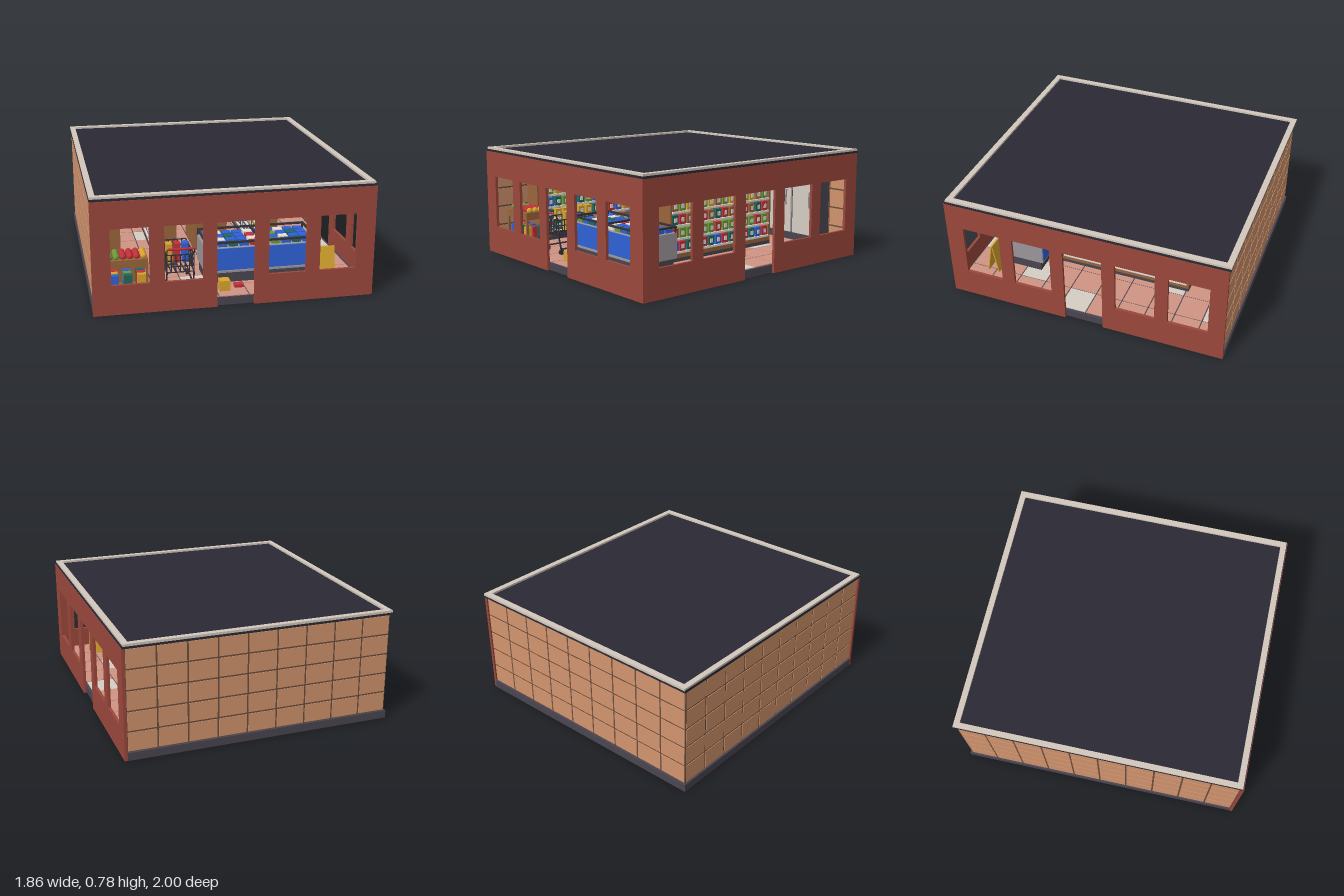
import * as THREE from 'three';
import { mergeGeometries } from 'three/addons/utils/BufferGeometryUtils.js';

const C = {
  brick: 0x9c483c, tile: 0xd2946e, grout: 0x6b4e3e, dark: 0x4a4550, roof: 0x2b2933, trim: 0xd2c8bd,
  blue: 0x2f62d8, red: 0xc5303a, yellow: 0xdaa52e, green: 0x6f9a3a, teal: 0x24685e, wood: 0x9a663c,
  cream: 0xd6cec4, grey: 0x9d979b, white: 0xe6e2da, wire: 0x35333b, pink: 0xd09484,
};
const GOODS = [C.red, C.yellow, C.blue, C.green, C.teal, C.wood];
const mats = new Map();
const mat = (color) => {
  if (!mats.has(color)) mats.set(color, new THREE.MeshStandardMaterial({ color }));
  return mats.get(color);
};

// Box given by its extents along x, y and z
const box = (x0, x1, y0, y1, z0, z1) =>
  new THREE.BoxGeometry(x1 - x0, y1 - y0, z1 - z0).translate((x0 + x1) / 2, (y0 + y1) / 2, (z0 + z1) / 2);
const ball = (x, y, z, r) => new THREE.SphereGeometry(r, 10, 8).translate(x, y, z);
const rod = (a, b, r = 0.004) => {
  const p = new THREE.Vector3(...a), q = new THREE.Vector3(...b);
  return new THREE.TubeGeometry(new THREE.LineCurve3(p, q), 1, r, 6);
};

// Gathers geometries by colour, so each part gets one mesh per colour
class Part {
  constructor(name) { this.name = name; this.lists = new Map(); }
  add(color, ...geos) {
    if (!this.lists.has(color)) this.lists.set(color, []);
    this.lists.get(color).push(...geos);
    return this;
  }
  build(parent) {
    const g = new THREE.Group();
    g.name = this.name;
    for (const [color, geos] of this.lists) {
      const m = new THREE.Mesh(mergeGeometries(geos), mat(color));
      m.name = this.name + 'Piece';
      g.add(m);
    }
    parent.add(g);
  }
}

// Brick wall with four windows and a central doorway, drawn in its own plane
function brickWall(a0, a1, spans) {
  const s = new THREE.Shape();
  const [d0, d1] = spans[2];
  [[a0, 0], [d0, 0], [d0, 0.575], [d1, 0.575], [d1, 0], [a1, 0], [a1, 0.755], [a0, 0.755]]
    .forEach(([x, y], i) => (i ? s.lineTo(x, y) : s.moveTo(x, y)));
  spans.forEach(([w0, w1], i) => {
    if (i === 2) return;
    const h = new THREE.Path();
    h.moveTo(w0, 0.2).lineTo(w0, 0.575).lineTo(w1, 0.575).lineTo(w1, 0.2);
    s.holes.push(h);
  });
  return new THREE.ExtrudeGeometry(s, { depth: 0.02, bevelEnabled: false });
}

// Shelf unit with goods facing +x and, if double, -x too
function shelfUnit(parent, name, xc, z0, z1, double, seed) {
  const p = new Part(name);
  const w = 0.07;
  p.add(C.dark, box(xc - w, xc + w, 0.06, 0.085, z0, z1));
  p.add(C.wood, box(xc - w, xc + w, 0.085, 0.115, z0, z1), box(xc - 0.012, xc + 0.012, 0.115, 0.575, z0, z1));
  for (const z of [z0, z1 - 0.015]) p.add(C.wood, box(xc - w, xc + w, 0.115, 0.53, z, z + 0.015));
  for (const z of [z0 - 0.012, z1 - 0.02]) p.add(C.red, box(xc - w - 0.008, xc + w + 0.008, 0.53, 0.556, z, z + 0.032));
  p.add(C.yellow, box(xc - 0.05, xc + 0.03, 0.556, 0.6, z1 - 0.1, z1 - 0.025));
  const n = Math.floor((z1 - z0 - 0.03) / 0.067);
  const step = (z1 - z0 - 0.03) / n;
  for (let r = 0; r < 5; r++) {
    const y = 0.13 + r * 0.0935;
    p.add(C.white, box(xc - w - 0.006, xc + w + 0.006, y - 0.014, y, z0 + 0.015, z1 - 0.015));
    for (const side of double ? [1, -1] : [1]) {
      for (let i = 0; i < n; i++) {
        const z = z0 + 0.015 + (i + 0.5) * step;
        const x = xc + side * 0.04, f = xc + side * 0.066;
        p.add(GOODS[(i * 2 + r * 3 + seed + (i * r) % 3) % GOODS.length],
          box(x - 0.025, x + 0.025, y, y + 0.066, z - 0.026, z + 0.026));
        p.add(C.white, box(f - 0.002, f + 0.002, y + 0.018, y + 0.048, z - 0.013, z + 0.013));
      }
    }
  }
  p.build(parent);
}

export function createModel() {
  const store = new THREE.Group();
  store.name = 'store';

  // Floor slab and tiles
  const floor = new Part('floor').add(C.dark, box(-0.93, 0.905, 0.001, 0.055, -0.995, 0.975));
  for (let i = 0; i < 9; i++) for (let j = 0; j < 10; j++) {
    const x = -0.91 + i * 0.2, z = -0.97 + j * 0.194;
    floor.add((i * 3 + j * 5) % 7 === 0 ? C.cream : C.pink, box(x + 0.004, x + 0.196, 0.054, 0.06, z + 0.004, z + 0.19));
  }
  floor.build(store);

  // Brick front and left-hand walls
  const front = brickWall(-0.93, 0.925, [[-0.81, -0.565], [-0.47, -0.22], [-0.13, 0.117], [0.21, 0.46], [0.553, 0.8]]);
  const side = brickWall(-0.993, 0.99, [[-0.87, -0.6], [-0.507, -0.23], [-0.137, 0.14], [0.232, 0.51], [0.6, 0.877]]);
  new Part('brickFrontWall').add(C.brick, front.translate(0, 0, 0.975)).build(store);
  new Part('brickSideWall').add(C.brick, side.rotateY(Math.PI / 2).translate(0.905, 0, 0)).build(store);

  // Tiled back and right-hand walls, tiles raised over the grout on both faces
  const back = new Part('tiledBackWall').add(C.grout, box(-0.92, 0.905, 0.055, 0.75, -0.98, -0.968));
  const flank = new Part('tiledSideWall').add(C.grout, box(-0.917, -0.905, 0.055, 0.75, -0.98, 0.975));
  const g = 0.006, rowH = 0.139;
  for (let r = 0; r < 5; r++) {
    const y0 = 0.055 + r * rowH + g, y1 = 0.055 + (r + 1) * rowH - g;
    for (let i = 0; i < 9; i++) {
      const x = -0.92 + i * 0.2027;
      back.add(C.tile, box(x + g, x + 0.2027 - g, y0, y1, -0.984, -0.964));
    }
    for (let i = 0; i < 10; i++) {
      const z = -0.98 + i * 0.1955;
      flank.add(C.tile, box(-0.921, -0.901, y0, y1, z + g, z + 0.1955 - g));
    }
  }
  back.build(store);
  flank.build(store);

  // Roof slab with a pale raised border
  new Part('roof').add(C.roof, box(-0.93, 0.922, 0.752, 0.77, -0.998, 0.99)).build(store);
  new Part('roofBorder').add(C.trim,
    box(-0.928, -0.89, 0.768, 0.784, -1, 0.985), box(0.876, 0.917, 0.768, 0.784, -1, 0.985),
    box(-0.89, 0.876, 0.768, 0.784, -1, -0.96), box(-0.89, 0.876, 0.768, 0.784, 0.945, 0.985)).build(store);

  // Shelf units
  shelfUnit(store, 'leftAisleShelf', 0.37, -0.6, 0.37, true, 0);
  shelfUnit(store, 'middleAisleShelf', -0.36, -0.6, 0.37, true, 2);
  shelfUnit(store, 'rightAisleShelf', -0.785, -0.6, 0.7, false, 4);

  // Row of upright coolers along the back
  const cooler = new Part('coolers').add(C.dark, box(-0.7, 0.7, 0.06, 0.72, -0.96, -0.83));
  for (let i = 0; i < 6; i++) {
    const x = -0.69 + i * 0.23;
    cooler.add(C.cream, box(x + 0.01, x + 0.22, 0.12, 0.66, -0.84, -0.815));
    cooler.add(C.grey, rod([x + 0.185, 0.33, -0.8], [x + 0.185, 0.45, -0.8], 0.006),
      rod([x + 0.185, 0.34, -0.82], [x + 0.185, 0.34, -0.8]), rod([x + 0.185, 0.44, -0.82], [x + 0.185, 0.44, -0.8]));
  }
  cooler.build(store);

  // Drinks rack by the right-hand wall
  const rack = new Part('drinksRack').add(C.dark, box(-0.9, -0.82, 0.06, 0.6, -0.86, -0.83));
  for (let r = 0; r < 5; r++) {
    const y = 0.1 + r * 0.1;
    rack.add(C.dark, box(-0.9, -0.8, y - 0.01, y, -0.83, -0.74));
    rack.add(r % 3 === 2 ? C.yellow : C.blue, box(-0.89, -0.81, y, y + 0.065, -0.82, -0.75));
  }
  rack.build(store);

  // Chest freezer with packs under its frame
  const fz = new Part('chestFreezer')
    .add(C.dark, box(-0.15, 0.59, 0.06, 0.135, 0.47, 0.74))
    .add(C.grey, box(-0.16, 0.6, 0.135, 0.31, 0.45, 0.76), box(-0.16, 0.6, 0.14, 0.152, 0.45, 0.768))
    .add(C.blue, box(-0.155, 0.595, 0.155, 0.308, 0.755, 0.766), box(-0.155, 0.595, 0.155, 0.308, 0.444, 0.452));
  for (let i = 0; i < 10; i++) for (let j = 0; j < 4; j++) {
    const x = -0.14 + i * 0.073, z = 0.47 + j * 0.07;
    fz.add([C.blue, C.teal, C.white, C.green, C.blue, C.red][(i * 2 + j * 3 + (i * j) % 2) % 6],
      box(x, x + 0.06, 0.3, 0.333, z, z + 0.055));
  }
  for (const z of [0.45, 0.75]) fz.add(C.wire, box(-0.16, 0.6, 0.342, 0.355, z, z + 0.014));
  for (const x of [-0.16, 0.21, 0.59]) {
    fz.add(C.wire, box(x, x + 0.012, 0.342, 0.355, 0.45, 0.764));
    for (const z of [0.452, 0.752]) fz.add(C.wire, box(x, x + 0.01, 0.31, 0.345, z, z + 0.01));
  }
  fz.build(store);

  // Checkout counter with a till screen
  new Part('checkout')
    .add(C.wood, box(-0.11, 0.13, 0.06, 0.335, -0.3, 0.1))
    .add(C.wire, box(-0.12, 0.14, 0.335, 0.35, -0.31, 0.11), box(0.055, 0.075, 0.35, 0.41, -0.06, -0.045),
      box(0.028, 0.105, 0.4, 0.458, -0.05, -0.03))
    .add(C.teal, box(0.035, 0.098, 0.408, 0.45, -0.032, -0.027))
    .add(C.yellow, box(-0.095, -0.04, 0.35, 0.42, 0, 0.06))
    .build(store);

  // Wooden produce stand
  const stand = new Part('produceStand').add(C.wood, box(-0.83, -0.56, 0.27, 0.325, 0.73, 0.89),
    box(-0.83, -0.56, 0.09, 0.115, 0.73, 0.89), box(-0.83, -0.56, 0.06, 0.27, 0.73, 0.745));
  for (const x of [-0.83, -0.575]) for (const z of [0.73, 0.875]) stand.add(C.wood, box(x, x + 0.015, 0.06, 0.27, z, z + 0.015));
  for (let i = 0; i < 6; i++) for (let j = 0; j < 3; j++) {
    const x = -0.805 + i * 0.044, z = 0.76 + j * 0.045;
    stand.add(i < 2 ? C.green : i < 5 ? C.red : C.yellow, ball(x, 0.335, z, 0.022));
    if (i % 2 === 0) stand.add(GOODS[(i + j) % 5], box(x, x + 0.055, 0.115, 0.215, z - 0.01, z + 0.025));
  }
  stand.build(store);

  // Wire shopping trolley
  const cart = new Part('shoppingTrolley');
  const [cx0, cx1, cz0, cz1] = [-0.43, -0.25, 0.52, 0.82];
  for (let r = 0; r < 4; r++) {
    const y = 0.19 + r * 0.04;
    for (const x of [cx0, cx1]) cart.add(C.wire, rod([x, y, cz0], [x, y, cz1]));
    for (const z of [cz0, cz1]) cart.add(C.wire, rod([cx0, y, z], [cx1, y, z]));
  }
  for (let i = 0; i <= 6; i++) {
    const x = cx0 + (i * 0.18) / 6, z = cz0 + (i * 0.3) / 6;
    for (const e of [cz0, cz1]) cart.add(C.wire, rod([x, 0.19, e], [x, 0.31, e]));
    for (const e of [cx0, cx1]) cart.add(C.wire, rod([e, 0.19, z], [e, 0.31, z]));
    cart.add(C.wire, rod([x, 0.19, cz0], [x, 0.19, cz1]));
  }
  for (const x of [cx0, cx1]) {
    cart.add(C.wire, rod([x, 0.31, cz1], [x, 0.36, 0.85]), rod([x, 0.19, cz1], [x, 0.09, 0.8], 0.006),
      rod([x, 0.1, 0.8], [x, 0.1, 0.55], 0.006));
    for (const z of [0.55, 0.8]) cart.add(C.wire, new THREE.CylinderGeometry(0.02, 0.02, 0.014, 12).rotateZ(Math.PI / 2).translate(x, 0.08, z));
  }
  cart.add(C.red, rod([cx0, 0.36, 0.85], [cx1, 0.36, 0.85], 0.008));
  [C.yellow, C.red, C.blue].forEach((c, i) => cart.add(c, box(-0.41 + i * 0.055, -0.37 + i * 0.055, 0.2, 0.335, 0.62, 0.68)));
  cart.build(store);

  // Folding floor sign and dropped packs
  const sign = new Part('floorSign');
  for (const s of [1, -1]) {
    sign.add(C.yellow, new THREE.BoxGeometry(0.12, 0.23, 0.008).rotateX(-s * 0.17).translate(0.66, 0.172, 0.79 + s * 0.022));
  }
  sign.build(store);
  new Part('floorPacks').add(C.yellow, box(-0.09, -0.02, 0.06, 0.13, 0.82, 0.89))
    .add(C.red, box(0.02, 0.08, 0.06, 0.08, 0.8, 0.85)).build(store);

  return store;
}
